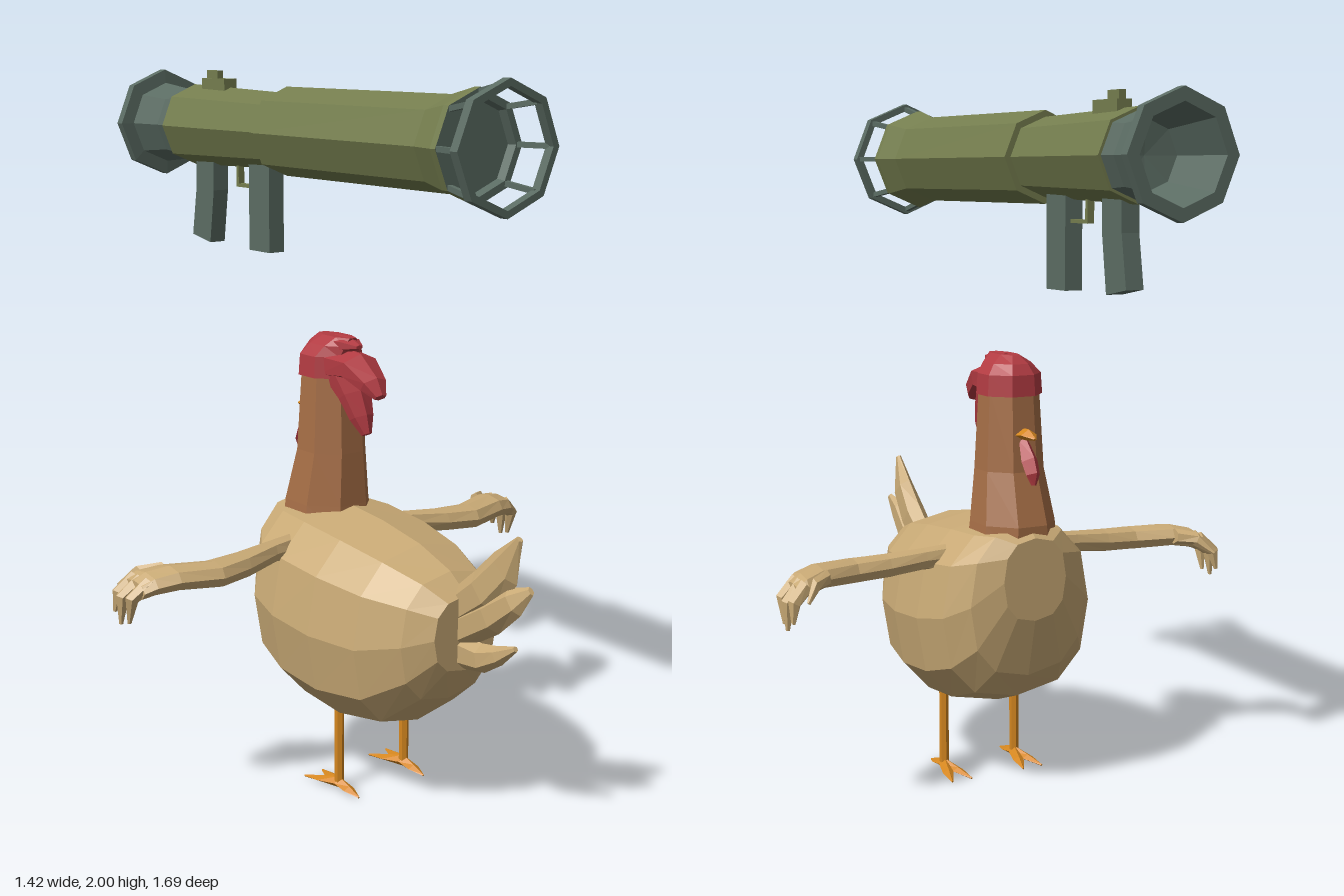
import * as THREE from 'three';

const mat = (name, color, side = THREE.FrontSide) => {
  const m = new THREE.MeshStandardMaterial({ color, flatShading: true, side });
  m.name = name;
  return m;
};
const V = (x, y, z) => new THREE.Vector3(x, y, z);

// Skin a list of equal-sized rings, close both ends, and turn the faces outward
function loft(rings) {
  const n = rings[0].length, tris = [];
  const center = r => r.reduce((a, p) => a.add(p), V(0, 0, 0)).divideScalar(n);
  const first = rings[0], last = rings[rings.length - 1];
  const c0 = center(first), c1 = center(last);
  for (let j = 0; j < n; j++) {
    const k = (j + 1) % n;
    for (let i = 0; i < rings.length - 1; i++) {
      const a = rings[i], b = rings[i + 1];
      tris.push([a[j], a[k], b[k]], [a[j], b[k], b[j]]);
    }
    tris.push([c0, first[k], first[j]], [c1, last[j], last[k]]);
  }
  let volume = 0;
  for (const [a, b, c] of tris) volume += a.dot(b.clone().cross(c));
  const pts = tris.flatMap(([a, b, c]) => (volume < 0 ? [a, c, b] : [a, b, c]));
  const g = new THREE.BufferGeometry().setFromPoints(pts);
  g.computeVertexNormals();
  return g;
}

// Superellipse outline as pairs in -1..1
const outline = (n, power = 2, turn = 0) => Array.from({ length: n }, (_, i) => {
  const a = (i / n) * Math.PI * 2 + turn, c = Math.cos(a), s = Math.sin(a);
  return [Math.sign(c) * Math.abs(c) ** (2 / power), Math.sign(s) * Math.abs(s) ** (2 / power)];
});

// Tapering strand; each point is [x, y, z, half height, half thickness]
function strand(points, side = V(1, 0, 0), n = 4) {
  const p = points.map(q => V(q[0], q[1], q[2]));
  return loft(p.map((c, i) => {
    const t = p[Math.min(i + 1, p.length - 1)].clone().sub(p[Math.max(i - 1, 0)]);
    const up = t.cross(side).normalize();
    return outline(n).map(([u, v]) => c.clone()
      .addScaledVector(up, u * points[i][3]).addScaledVector(side, v * points[i][4]));
  }));
}

// Upright column; each row is [y, half width, z min, z max]
const column = rows => loft(rows.map(([y, w, z0, z1]) => outline(8, 2, Math.PI / 8).map(([u, v]) =>
  V(u * w * 1.08, y, (z0 + z1) / 2 + v * (z1 - z0) * 0.54))));

// Eight-sided turned part along z; each point is [radius, z]
const turned = profile => new THREE.LatheGeometry(profile.map(([r, z]) => new THREE.Vector2(r, z)), 8)
  .rotateX(Math.PI / 2);

export function createModel() {
  const root = new THREE.Group();
  root.name = 'birdAndLauncher';
  const bird = new THREE.Group(), launcher = new THREE.Group();
  bird.name = 'bird';
  launcher.name = 'launcher';
  root.add(bird, launcher);

  const tan = mat('tanFeathers', 0xc8a975), brown = mat('brownNeck', 0xa66e46);
  const red = mat('redComb', 0xb23b42), orange = mat('orangeLegs', 0xd4861f);
  const green = mat('oliveTube', 0x747d4e, THREE.DoubleSide);
  const grey = mat('greyMetal', 0x5b6c63, THREE.DoubleSide);
  const add = (group, name, geometry, material) => {
    const m = new THREE.Mesh(geometry, material);
    m.name = name;
    group.add(m);
    return m;
  };
  const box = (group, name, material, w, y0, y1, z0, z1) =>
    add(group, name, new THREE.BoxGeometry(w, y1 - y0, z1 - z0), material)
      .position.set(0, (y0 + y1) / 2, (z0 + z1) / 2);

  // Body sections from tail to breast: [z, top, bottom, half width]
  const body = [[0.61, 0.66, 0.45, 0.11], [0.545, 0.71, 0.35, 0.17], [0.42, 0.755, 0.245, 0.23],
    [0.26, 0.785, 0.22, 0.262], [0.1, 0.8, 0.235, 0.265], [-0.02, 0.8, 0.28, 0.24],
    [-0.09, 0.8, 0.36, 0.185], [-0.13, 0.77, 0.53, 0.1]];
  add(bird, 'body', loft(body.map(([z, top, bottom, w]) => outline(12, 2.5).map(([u, v]) =>
    V(u * w, (top + bottom) / 2 + v * (top - bottom) / 2, z)))), tan);

  // Neck, head cap and comb
  add(bird, 'neck', column([[0.72, 0.12, -0.115, 0.135], [0.8, 0.112, -0.115, 0.13],
    [0.95, 0.092, -0.07, 0.125], [1.18, 0.08, -0.055, 0.112]]), brown);
  add(bird, 'combCap', column([[1.165, 0.088, -0.062, 0.115], [1.225, 0.084, -0.058, 0.11],
    [1.255, 0.06, -0.04, 0.12], [1.278, 0.028, -0.015, 0.125]]), red);
  [
    [[0, 1.25, 0.05, 0.03, 0.05], [0, 1.258, 0.11, 0.022, 0.04], [0, 1.257, 0.155, 0.006, 0.012]],
    [[0, 1.2, 0.06, 0.05, 0.08], [0, 1.2, 0.15, 0.04, 0.065], [0, 1.16, 0.215, 0.028, 0.045], [0, 1.13, 0.247, 0.012, 0.02]],
    [[0, 1.19, 0.08, 0.05, 0.07], [0, 1.12, 0.135, 0.03, 0.055], [0, 1.06, 0.165, 0.026, 0.038], [0, 1.015, 0.188, 0.014, 0.015]],
  ].forEach(p => add(bird, 'combLobe', strand(p, V(1, 0, 0), 6), red));

  // Beak and wattle
  add(bird, 'beak', strand([[0, 1.055, -0.04, 0.02, 0.032], [0, 1.06, -0.09, 0.016, 0.025],
    [0, 1.052, -0.127, 0.004, 0.005]]), orange);
  add(bird, 'wattle', strand([[0, 1.04, -0.06, 0.015, 0.015], [0, 0.985, -0.095, 0.03, 0.026],
    [0, 0.95, -0.115, 0.025, 0.022], [0, 0.92, -0.12, 0.006, 0.008]]), red);

  // Tail feathers
  [
    [[0, 0.6, 0.56, 0.05, 0.03], [0, 0.69, 0.68, 0.06, 0.035], [0, 0.77, 0.755, 0.055, 0.026], [-0.01, 0.865, 0.815, 0.01, 0.008]],
    [[0, 0.54, 0.56, 0.05, 0.032], [0, 0.63, 0.71, 0.05, 0.035], [0, 0.69, 0.79, 0.04, 0.024], [0.01, 0.73, 0.84, 0.012, 0.008]],
    [[0, 0.5, 0.56, 0.055, 0.032], [0, 0.505, 0.68, 0.04, 0.034], [0, 0.53, 0.74, 0.026, 0.024], [0, 0.565, 0.8, 0.008, 0.008]],
  ].forEach(p => add(bird, 'tailFeather', strand(p, V(1, 0, 0), 6), tan));

  // Wings, legs and feet on both sides
  for (const [s, side] of [[1, 'left'], [-1, 'right']]) {
    // Wing sections: [x, top, bottom, z min, z max]
    const wing = [[0.17, 0.735, 0.66, 0.045, 0.1], [0.25, 0.728, 0.665, 0.05, 0.11],
      [0.36, 0.72, 0.65, 0.053, 0.14], [0.46, 0.716, 0.645, 0.052, 0.16],
      [0.58, 0.718, 0.652, 0.01, 0.132], [0.64, 0.705, 0.645, -0.02, 0.11], [0.67, 0.685, 0.635, -0.02, 0.09]];
    add(bird, side + 'Wing', loft(wing.map(([x, t, b, z0, z1]) => outline(8, 2.3).map(([u, v]) =>
      V(s * x, (t + b) / 2 + v * (t - b) / 2, (z0 + z1) / 2 + u * (z1 - z0) / 2)))), tan);
    // Fingertip feathers
    [
      [[0.57, 0.69, 0.02], [0.62, 0.685, -0.02], [0.66, 0.645, -0.062]],
      [[0.64, 0.68, 0.0], [0.685, 0.64, -0.02], [0.692, 0.585, -0.03]],
      [[0.64, 0.68, 0.03], [0.692, 0.635, 0.01], [0.695, 0.56, 0.005]],
      [[0.64, 0.68, 0.07], [0.69, 0.64, 0.055], [0.69, 0.57, 0.04]],
    ].forEach(p => add(bird, side + 'WingTip', strand(p.map(([x, y, z], i) =>
      [s * x, y, z, [0.024, 0.02, 0.006][i], [0.025, 0.02, 0.006][i]]), V(0, 0, 1), 6), tan));

    add(bird, side + 'Leg', new THREE.CylinderGeometry(0.014, 0.014, 0.24, 6), orange)
      .position.set(s * 0.12, 0.14, 0.22);
    for (const [x, z] of [[-0.032, 0.1], [0.032, 0.1], [0, 0.31]]) {
      add(bird, side + 'Toe', strand([[s * 0.12, 0.018, 0.22, 0.017, 0.018],
        [s * 0.12 + x * 0.5, 0.011, (0.22 + z) / 2, 0.01, 0.018],
        [s * 0.12 + x, 0.003, z, 0.003, 0.003]]), orange);
    }
  }

  // Launcher tube, muzzle plate and hollow exhaust
  const barrel = new THREE.Group();
  barrel.name = 'barrel';
  barrel.position.y = 1.83;
  launcher.add(barrel);
  add(barrel, 'tube', turned([[0, -0.65], [0.12, -0.65], [0.107, -0.18], [0.125, -0.18],
    [0.125, 0.52], [0.146, 0.605], [0.146, 0.625]]), green);
  add(barrel, 'muzzlePlate', turned([[0.146, 0.625], [0.125, 0.625], [0.12, 0.6], [0, 0.6]]), grey);
  add(barrel, 'exhaust', turned([[0, -0.67], [0.09, -0.68], [0.125, -0.845], [0.16, -0.845],
    [0.16, -0.818], [0.12, -0.815], [0.116, -0.78], [0.107, -0.7], [0.112, -0.65]]), grey);

  // Muzzle guard: ring on eight struts
  add(barrel, 'guardRing', turned([[0.15, 0.705], [0.17, 0.705], [0.17, 0.732], [0.15, 0.732], [0.15, 0.705]]), grey);
  for (let i = 0; i < 8; i++) {
    const a = (i * Math.PI) / 4;
    const from = V(Math.cos(a) * 0.132, Math.sin(a) * 0.132, 0.61);
    const to = V(Math.cos(a) * 0.156, Math.sin(a) * 0.156, 0.715);
    const strut = add(barrel, 'guardStrut', new THREE.BoxGeometry(0.014, 0.014, from.distanceTo(to)), grey);
    strut.position.copy(from).add(to).multiplyScalar(0.5);
    strut.quaternion.setFromUnitVectors(V(0, 0, 1), to.sub(from).normalize());
  }

  // Grips, trigger guard and sight
  box(launcher, 'frontGrip', grey, 0.052, 1.48, 1.75, -0.333, -0.233);
  const quad = (y, z0, z1, slope) => [V(-0.026, y, z1), V(0.026, y, z1), V(0.026, y + slope, z0), V(-0.026, y + slope, z0)];
  add(launcher, 'rearGrip', loft([quad(1.75, -0.61, -0.515, 0), quad(1.64, -0.612, -0.518, 0),
    quad(1.482, -0.635, -0.54, 0.017)]), grey);
  box(launcher, 'triggerGuardBase', green, 0.02, 1.658, 1.668, -0.42, -0.33);
  box(launcher, 'triggerGuardBack', green, 0.02, 1.658, 1.74, -0.42, -0.408);
  box(launcher, 'sightBase', green, 0.044, 1.92, 1.97, -0.578, -0.46);
  box(launcher, 'sightBlock', green, 0.02, 1.965, 1.993, -0.568, -0.513);
  return root;
}
